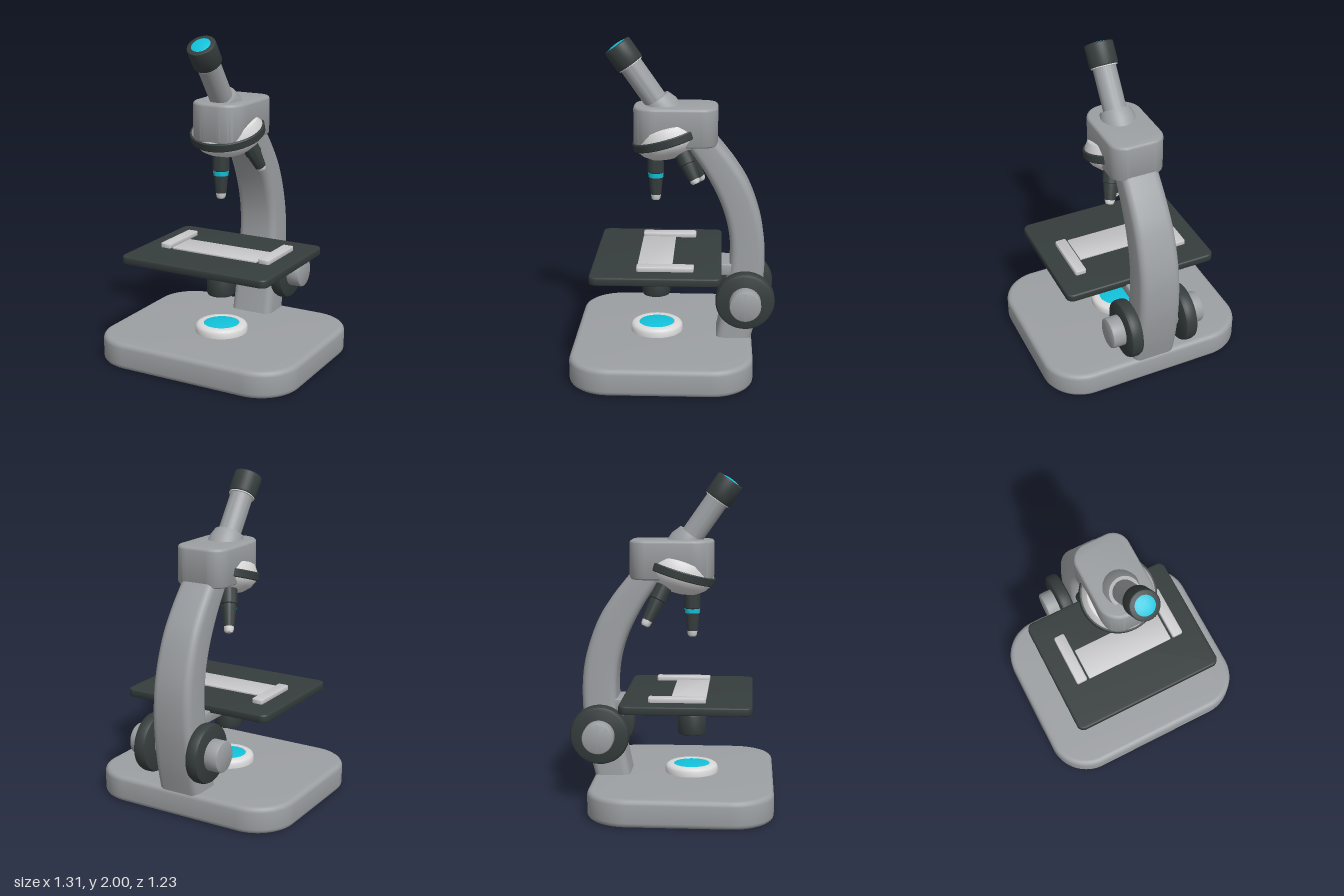
import * as THREE from 'three';
import { toCreasedNormals } from 'three/addons/utils/BufferGeometryUtils.js';

const paint = (name, color) => {
  const m = new THREE.MeshStandardMaterial({ color });
  m.name = name;
  return m;
};

export function createModel() {
  const body = paint('body grey', 0x9da0a3);
  const dark = paint('dark rubber', 0x363d3d);
  const light = paint('light metal', 0xdadada);
  const steel = paint('slide grey', 0xc9c9cb);
  const glass = paint('cyan glass', 0x12c2da);

  const model = new THREE.Group();
  model.name = 'microscope';

  const add = (parent, name, geometry, material, x = 0, y = 0, z = 0) => {
    const mesh = new THREE.Mesh(geometry, material);
    mesh.name = name;
    mesh.position.set(x, y, z);
    parent.add(mesh);
    return mesh;
  };
  const group = (parent, name, x, y, z) => {
    const g = new THREE.Group();
    g.name = name;
    g.position.set(x, y, z);
    parent.add(g);
    return g;
  };

  // Turned part: [radius, height] pairs from bottom to top
  const turned = (points, sides = 48) => toCreasedNormals(
    new THREE.LatheGeometry(points.map(p => new THREE.Vector2(p[0], p[1])), sides), 0.6);

  // Turned disc with softened rims
  const disc = (r, y0, y1, b) => turned([
    [0, y0], [r - b, y0], [r - b * 0.3, y0 + b * 0.3], [r, y0 + b],
    [r, y1 - b], [r - b * 0.3, y1 - b * 0.3], [r - b, y1], [0, y1]]);

  // Slab standing on y = 0 with rounded corners and softened edges
  const slab = (w, d, h, rFront, rBack, b) => {
    const s = new THREE.Shape(), x = w / 2, y = d / 2;
    s.moveTo(-x + rFront, -y);
    s.absarc(x - rFront, -y + rFront, rFront, -Math.PI / 2, 0);
    s.absarc(x - rBack, y - rBack, rBack, 0, Math.PI / 2);
    s.absarc(-x + rBack, y - rBack, rBack, Math.PI / 2, Math.PI);
    s.absarc(-x + rFront, -y + rFront, rFront, Math.PI, Math.PI * 1.5);
    const g = new THREE.ExtrudeGeometry(s, {
      depth: h - 2 * b, bevelThickness: b, bevelSize: b, bevelOffset: -b,
      bevelSegments: 4, curveSegments: 12 });
    g.rotateX(-Math.PI / 2).translate(0, b, 0);
    return toCreasedNormals(g, 0.6);
  };

  // Base and lamp
  add(model, 'base', slab(1.31, 1.095, 0.165, 0.25, 0.25, 0.03), body, 0, 0, 0.0675);
  add(model, 'lampRing', turned([[0, 0], [0.162, 0], [0.162, 0.03], [0.155, 0.043],
    [0.14, 0.052], [0.112, 0.052], [0.108, 0.046], [0, 0.046]]), light, 0, 0.165, 0.113);
  add(model, 'lampGlass', turned([[0.11, 0], [0.08, 0.005], [0.04, 0.008], [0, 0.009]]),
    glass, 0, 0.213, 0.113);

  // Curved arm: rounded rectangles swept between an inner and an outer curve
  const curve = pts => new THREE.CatmullRomCurve3(pts.map(p => new THREE.Vector3(0, p[1], p[0])));
  const inner = curve([[-0.245, 0.1], [-0.298, 0.36], [-0.338, 0.62], [-0.333, 0.82],
    [-0.285, 1.0], [-0.19, 1.19], [-0.075, 1.36], [-0.01, 1.45]]);
  const outer = curve([[-0.46, 0.1], [-0.52, 0.36], [-0.55, 0.62], [-0.535, 0.86],
    [-0.455, 1.11], [-0.365, 1.26], [-0.255, 1.4], [-0.2, 1.47]]);
  const rows = 48, perCorner = 6, ring = perCorner * 4, pos = [], idx = [];
  for (let i = 0; i <= rows; i++) {
    const t = i / rows, a = inner.getPoint(t), b = outer.getPoint(t);
    const mid = a.clone().lerp(b, 0.5), half = a.distanceTo(b) / 2;
    const out = b.clone().sub(a).normalize();
    const w = 0.14 - 0.03 * t, r = 0.045;
    for (let j = 0; j < ring; j++) {
      const c = Math.floor(j / perCorner);
      const ang = (c + (j % perCorner) / (perCorner - 1)) * Math.PI / 2;
      const u = (c === 0 || c === 3 ? 1 : -1) * (w - r) + r * Math.cos(ang);
      const v = (c < 2 ? 1 : -1) * (half - r) + r * Math.sin(ang);
      pos.push(u, mid.y + out.y * v, mid.z + out.z * v);
      if (i < rows) {
        const p = i * ring + j, q = i * ring + (j + 1) % ring;
        idx.push(p, q, p + ring, q, q + ring, p + ring);
      }
    }
  }
  for (let j = 1; j < ring - 1; j++) {
    const top = rows * ring;
    idx.push(0, j + 1, j, top, top + j, top + j + 1);
  }
  // Section runs +x to -z, so reverse if the winding points inward
  const armGeometry = new THREE.BufferGeometry();
  armGeometry.setAttribute('position', new THREE.Float32BufferAttribute(pos, 3));
  armGeometry.setIndex(idx);
  add(model, 'arm', toCreasedNormals(armGeometry, 0.6), body);

  // Focus knobs
  const knobs = group(model, 'focusKnobs', 0, 0.43, -0.434);
  add(knobs, 'axle', turned([[0, -0.16], [0.07, -0.16], [0.07, 0.16], [0, 0.16]]), body)
    .rotation.z = Math.PI / 2;
  for (const [side, s] of [['left', 1], ['right', -1]]) {
    add(knobs, side + 'CoarseKnob', disc(0.18, 0.138, 0.223, 0.025), dark)
      .rotation.z = -s * Math.PI / 2;
    add(knobs, side + 'FineKnob', disc(0.095, 0.2, 0.306, 0.012), body)
      .rotation.z = -s * Math.PI / 2;
  }

  // Stage with slide and clips
  add(model, 'stageBracket', slab(0.23, 0.32, 0.07, 0.01, 0.01, 0.005), body, 0, 0.565, -0.25);
  add(model, 'stage', slab(0.985, 0.775, 0.05, 0.045, 0.045, 0.01), dark, 0, 0.622, 0.0975);
  add(model, 'slide', slab(0.58, 0.208, 0.016, 0.006, 0.006, 0.002), steel, 0, 0.666, 0.108);
  for (const s of [1, -1])
    add(model, s > 0 ? 'leftClip' : 'rightClip', slab(0.07, 0.338, 0.035, 0.012, 0.012, 0.005),
      steel, s * 0.339, 0.665, 0.044);

  // Condenser below the stage
  add(model, 'condenserRing', disc(0.103, 0.53, 0.63, 0.012), light, 0, 0, 0.115);
  add(model, 'condenser', disc(0.087, 0.4, 0.54, 0.018), dark, 0, 0, 0.115);

  // Head block
  add(model, 'head', slab(0.338, 0.505, 0.235, 0.13, 0.1, 0.018), body, 0, 1.365, -0.007);

  // Tilted revolving nosepiece
  const tilt = 17 * Math.PI / 180;
  const nose = group(model, 'nosepiece', 0, 1.405, 0.035);
  nose.rotation.x = tilt;
  add(nose, 'noseBowl', turned([[0, -0.125], [0.08, -0.122], [0.14, -0.103], [0.185, -0.068],
    [0.215, -0.022], [0.215, 0.022], [0.188, 0.072], [0.12, 0.1], [0, 0.11]], 64), light);
  add(nose, 'noseBand', turned([[0.2, -0.025], [0.222, -0.025], [0.226, -0.02], [0.226, 0.02],
    [0.222, 0.025], [0.2, 0.025]], 64), dark);

  // Three objectives around the nosepiece; the front one hangs straight down
  [['long', 0.25, true], ['short', 0.185, false], ['medium', 0.25, false]].forEach(([name, len, band], k) => {
    const holder = group(nose, name + 'Objective', 0, 0, 0);
    holder.rotation.y = k * Math.PI * 2 / 3;
    const lens = group(holder, name + 'Barrel', 0, -0.115, 0.119);
    lens.rotation.x = -tilt;
    const f = len / 0.25;
    add(lens, 'barrel', turned([[0, -0.215 * f], [0.033, -0.215 * f], [0.043, -0.105 * f],
      [0.044, -0.08 * f], [0.05, -0.075 * f], [0.05, 0.06], [0, 0.06]], 32), dark);
    add(lens, 'tip', turned([[0, -len], [0.021, -len], [0.028, -len + 0.01],
      [0.031, -0.21 * f], [0, -0.21 * f]], 32), light);
    if (band) add(lens, 'band', turned([[0.04, -0.107], [0.0455, -0.107],
      [0.0475, -0.08], [0.04, -0.08]], 32), glass);
  });

  // Tilted eyepiece
  const eye = group(model, 'eyepiece', 0, 1.6, 0.097);
  eye.rotation.x = 35 * Math.PI / 180;
  add(eye, 'collar', turned([[0, -0.1], [0.11, -0.1], [0.11, -0.025], [0.09, 0.032], [0, 0.032]]), body);
  add(eye, 'tube', turned([[0, 0], [0.07, 0], [0.07, 0.3], [0, 0.3]]), body);
  add(eye, 'capRing', disc(0.08, 0.284, 0.3, 0.003), light);
  add(eye, 'cap', disc(0.087, 0.29, 0.43, 0.01), dark);
  add(eye, 'eyeGlass', turned([[0.058, 0.43], [0.04, 0.435], [0.02, 0.437], [0, 0.438]]), glass);

  return model;
}
